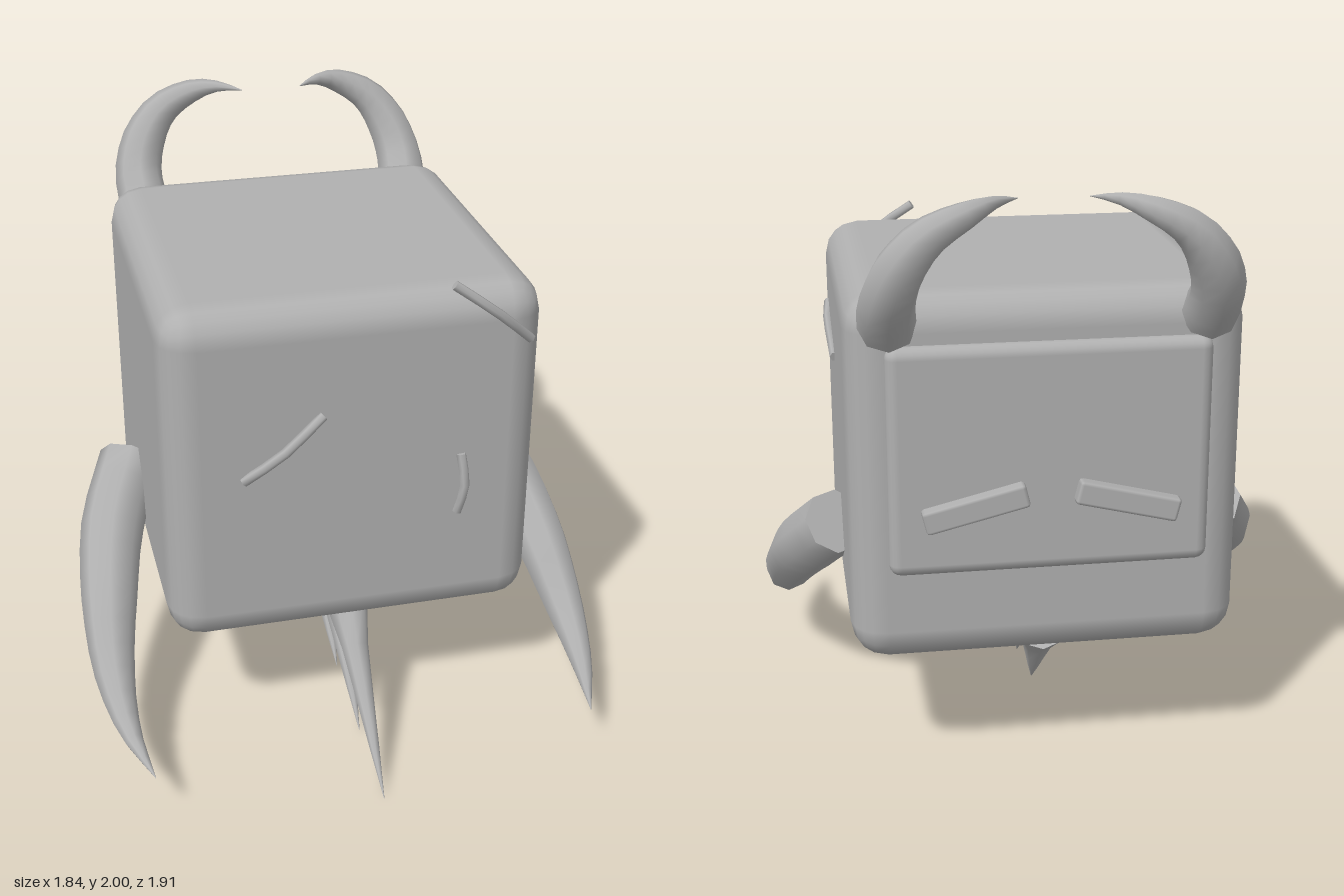
import * as THREE from 'three';
import { RoundedBoxGeometry } from 'three/addons/geometries/RoundedBoxGeometry.js';
import { mergeGeometries, mergeVertices } from 'three/addons/utils/BufferGeometryUtils.js';

// Tapered sweep through points [x, y, z, radius], smooth sides with flat end caps
function taper(points, segments, sides) {
  const curve = new THREE.CatmullRomCurve3(points.map(p => new THREE.Vector3(p[0], p[1], p[2])));
  const tube = new THREE.TubeGeometry(curve, segments, 1, sides);
  const pos = tube.attributes.position;
  const v = new THREE.Vector3();
  const radiusAt = u => {
    const f = curve.getUtoTmapping(u) * (points.length - 1);
    const i = Math.min(Math.floor(f), points.length - 2);
    return THREE.MathUtils.lerp(points[i][3], points[i + 1][3], f - i);
  };
  for (let i = 0; i <= segments; i++) {
    const c = curve.getPointAt(i / segments), r = radiusAt(i / segments);
    for (let j = 0; j <= sides; j++) {
      const k = i * (sides + 1) + j;
      v.fromBufferAttribute(pos, k).sub(c).multiplyScalar(r).add(c);
      pos.setXYZ(k, v.x, v.y, v.z);
    }
  }
  tube.deleteAttribute('uv');
  tube.deleteAttribute('normal');
  const parts = [mergeVertices(tube, 1e-5)];
  parts[0].computeVertexNormals();
  // End caps reuse the corners of the first and last rings
  for (const end of [0, segments]) {
    const c = curve.getPointAt(end / segments), n = curve.getTangentAt(end / segments);
    if (radiusAt(end / segments) < 0.005) continue;
    if (end === 0) n.negate();
    const verts = [c.x, c.y, c.z], normals = [n.x, n.y, n.z], index = [];
    for (let j = 0; j <= sides; j++) {
      v.fromBufferAttribute(pos, end * (sides + 1) + j);
      verts.push(v.x, v.y, v.z);
      normals.push(n.x, n.y, n.z);
    }
    const a = new THREE.Vector3().fromArray(verts, 3).sub(c);
    const b = new THREE.Vector3().fromArray(verts, 6).sub(c);
    const forward = a.cross(b).dot(n) > 0;
    for (let j = 1; j <= sides; j++) index.push(0, forward ? j : j + 1, forward ? j + 1 : j);
    const cap = new THREE.BufferGeometry();
    cap.setAttribute('position', new THREE.Float32BufferAttribute(verts, 3));
    cap.setAttribute('normal', new THREE.Float32BufferAttribute(normals, 3));
    cap.setIndex(index);
    parts.push(cap);
  }
  return mergeGeometries(parts);
}

export function createModel() {
  const group = new THREE.Group();
  const grey = new THREE.MeshStandardMaterial({ color: 0xb0b0b0 });
  grey.name = 'grey';
  const add = (name, geometry, x = 0, y = 0, z = 0) => {
    const mesh = new THREE.Mesh(geometry, grey);
    mesh.name = name;
    mesh.position.set(x, y, z);
    group.add(mesh);
    return mesh;
  };

  // Rounded cube body with a raised face plate on the back
  add('body', new RoundedBoxGeometry(1.285, 1.24, 1.285, 2, 0.12), 0, 1.06, -0.103);
  add('facePlate', new RoundedBoxGeometry(1.04, 0.76, 0.1, 2, 0.04), 0, 1.145, -0.732);

  // Curved horns, side claws and slanted eyes, mirrored
  const horn = [
    [0.505, 1.58, -0.715, 0.092], [0.51, 1.68, -0.81, 0.088], [0.475, 1.79, -0.87, 0.08],
    [0.4, 1.89, -0.9, 0.063], [0.28, 1.955, -0.895, 0.042], [0.19, 1.98, -0.845, 0.02],
    [0.11, 1.978, -0.78, 0.001],
  ];
  const claw = [
    [0.665, 0.765, -0.255, 0.115], [0.765, 0.61, -0.06, 0.115], [0.815, 0.46, 0.165, 0.102],
    [0.838, 0.3, 0.4, 0.074], [0.82, 0.215, 0.64, 0.04], [0.765, 0.19, 0.88, 0.001],
  ];
  for (const [side, s] of [['left', 1], ['right', -1]]) {
    const mirror = pts => pts.map(([x, y, z, r]) => [x * s, y, z, r]);
    add(side + 'Horn', taper(mirror(horn), 14, 8));
    add(side + 'Claw', taper(mirror(claw), 14, 8));
    const eye = add(side + 'Eye', new RoundedBoxGeometry(0.34, 0.08, 0.06, 1, 0.012), 0.245 * s, 1, -0.792);
    eye.rotation.z = -0.24 * s;
  }

  // Row of spikes under the body, longer towards the front
  for (let i = 0; i < 5; i++) {
    const tipY = 0.005 + 0.025 * i + 0.005 * i * i;
    add('spike' + (i + 1), taper([
      [0, 0.465, 0.405 - 0.244 * i, 0.078 + 0.003 * i],
      [0, tipY, 0.95 - 0.335 * i, 0.001],
    ], 4, 8));
  }

  // Thin bent slivers lying on the front and left side
  const slivers = [
    [[-0.385, 1.075, 0.54], [-0.25, 1.18, 0.568], [-0.115, 1.29, 0.54]],
    [[0.355, 0.86, 0.54], [0.372, 0.97, 0.56], [0.36, 1.085, 0.54]],
    [[0.31, 1.71, 0.55], [0.45, 1.61, 0.575], [0.59, 1.48, 0.52]],
    [[0.642, 1.4, 0.335], [0.65, 1.37, 0.25], [0.642, 1.3, -0.055]],
  ];
  slivers.forEach((pts, i) =>
    add('sliver' + (i + 1), taper(pts.map(p => [...p, 0.017]), 4, 6)));

  return group;
}
